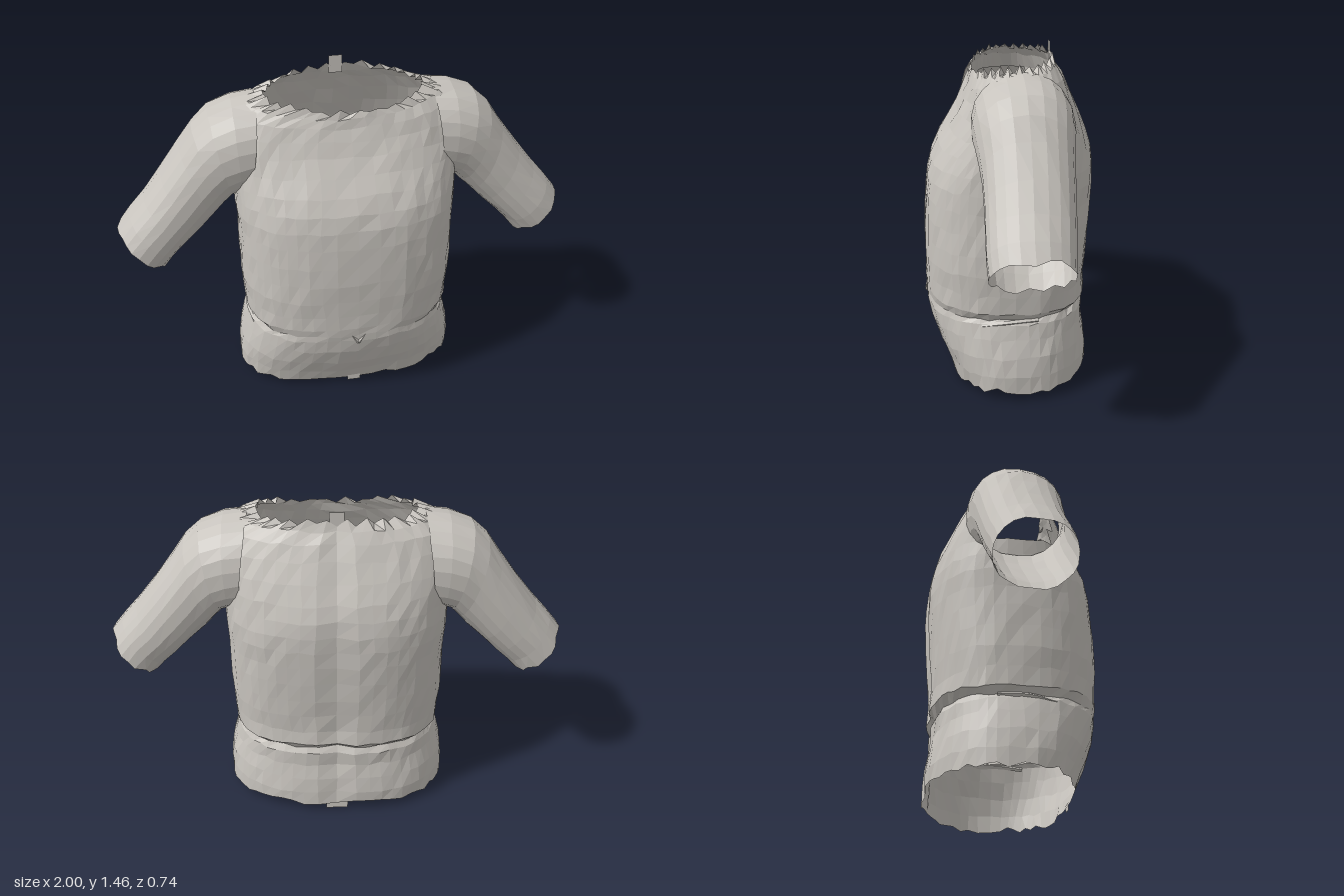
import * as THREE from 'three';

const SEG = 56;

// Seeded random for ragged hems and slightly uneven facets
function seeded(seed) {
  return () => {
    seed = (seed * 16807) % 2147483647;
    return seed / 2147483647 - 0.5;
  };
}

// Skins closed rings of points; skip(centre) leaves an opening
function loft(rings, flip, skip = () => false) {
  const pts = rings.flat();
  const n = rings[0].length;
  const index = [];
  const centre = new THREE.Vector3();
  for (let r = 0; r < rings.length - 1; r++) {
    for (let i = 0; i < n; i++) {
      const a = r * n + i, b = r * n + (i + 1) % n, c = a + n, d = b + n;
      centre.copy(pts[a]).add(pts[b]).add(pts[c]).add(pts[d]).multiplyScalar(0.25);
      if (skip(centre)) continue;
      if (flip) index.push(a, b, c, b, d, c);
      else index.push(a, c, b, b, c, d);
    }
  }
  const geo = new THREE.BufferGeometry().setFromPoints(pts);
  geo.setIndex(index);
  geo.computeVertexNormals();
  return geo;
}

const signedPow = (v, p) => Math.sign(v) * Math.abs(v) ** p;

function torsoGeometry() {
  const rand = seeded(77);
  // side y, front y, back y, half width, front z, back z, squareness
  const rows = [
    [0.05, 0.03, 0.06, 0.505, 0.26, -0.355, 2.5],
    [0.12, 0.10, 0.12, 0.505, 0.285, -0.355, 2.5],
    [0.20, 0.18, 0.20, 0.495, 0.32, -0.345, 2.5],
    [0.28, 0.27, 0.27, 0.475, 0.35, -0.333, 2.5],
    [0.34, 0.34, 0.34, 0.46, 0.365, -0.335, 2.5],
    [0.36, 0.37, 0.37, 0.445, 0.365, -0.32, 2.5],
    [0.39, 0.41, 0.40, 0.465, 0.367, -0.345, 2.6],
    [0.47, 0.48, 0.47, 0.47, 0.368, -0.34, 2.6],
    [0.56, 0.56, 0.56, 0.475, 0.37, -0.345, 2.7],
    [0.65, 0.65, 0.65, 0.475, 0.37, -0.352, 2.7],
    [0.74, 0.74, 0.74, 0.475, 0.367, -0.358, 2.7],
    [0.83, 0.83, 0.83, 0.475, 0.362, -0.363, 2.7],
    [0.91, 0.91, 0.91, 0.48, 0.352, -0.367, 2.7],
    [0.98, 0.98, 0.98, 0.485, 0.335, -0.367, 2.6],
    [1.05, 1.05, 1.05, 0.49, 0.303, -0.358, 2.5],
    [1.12, 1.12, 1.12, 0.50, 0.26, -0.338, 2.4],
    [1.20, 1.19, 1.20, 0.51, 0.22, -0.303, 2.4],
    [1.28, 1.25, 1.28, 0.51, 0.192, -0.265, 2.3],
    [1.35, 1.30, 1.345, 0.47, 0.172, -0.235, 2.3],
    [1.385, 1.335, 1.39, 0.41, 0.16, -0.21, 2.2],
    [1.40, 1.36, 1.42, 0.335, 0.15, -0.19, 2.1],
  ];
  const rings = rows.map(([ys, yf, yb, w, zf, zb, p], r) => {
    const ring = [];
    for (let i = 0; i < SEG; i++) {
      const a = (i / SEG) * Math.PI * 2;
      const c = Math.cos(a), s = Math.sin(a);
      const v = new THREE.Vector3(
        w * signedPow(c, 2 / p),
        ys * c * c + (s > 0 ? yf : yb) * s * s,
        (s > 0 ? zf : -zb) * signedPow(s, 2 / p));
      v.x += rand() * 0.006;
      v.y += rand() * 0.012;
      v.z += rand() * 0.006;
      // spine groove
      if (i === SEG * 0.75 && r < rows.length - 1) v.z += 0.014;
      // ragged hem and neckline
      if (r === 0) v.y += rand() * 0.025;
      if (r === rows.length - 1) {
        v.y += (i % 2 ? 0.014 : -0.008) + rand() * 0.02;
        v.x *= 1 + rand() * 0.08;
        v.z *= 1 + rand() * 0.08;
      }
      ring.push(v);
    }
    return ring;
  });
  // armholes, hidden under the start of the sleeves
  return loft(rings, false, (c) => Math.abs(c.x) > 0.44 && c.y > 1.04 && c.y < 1.3
    && c.z > -0.14 && c.z < 0.11);
}

function sleeveGeometry(side) {
  const rand = seeded(311);
  const n = 22;
  // top x, top y, bottom x, bottom y, middle z, half depth
  const rows = [
    [0.37, 1.395, 0.42, 0.99, -0.03, 0.205],
    [0.47, 1.382, 0.455, 0.98, -0.03, 0.205],
    [0.57, 1.345, 0.49, 0.965, -0.03, 0.198],
    [0.64, 1.28, 0.525, 0.925, -0.03, 0.187],
    [0.70, 1.195, 0.57, 0.875, -0.032, 0.18],
    [0.79, 1.075, 0.635, 0.81, -0.03, 0.175],
    [0.87, 0.97, 0.70, 0.745, -0.025, 0.172],
    [0.94, 0.89, 0.755, 0.69, -0.02, 0.168],
    [0.99, 0.825, 0.795, 0.64, -0.02, 0.163],
  ];
  const rings = rows.map(([tx, ty, bx, by, zc, rz], r) => {
    const ring = [];
    for (let i = 0; i < n; i++) {
      const a = (i / n) * Math.PI * 2;
      const t = 0.5 + 0.5 * signedPow(Math.cos(a), 0.9);
      const cuff = r === rows.length - 1 ? rand() * 0.02 : 0;
      ring.push(new THREE.Vector3(
        side * (bx + (tx - bx) * t + cuff + rand() * 0.004),
        by + (ty - by) * t - cuff + rand() * 0.006,
        zc + rz * signedPow(Math.sin(a), 0.9)));
    }
    return ring;
  });
  return loft(rings, side < 0);
}

// Small hanging flap at the bottom hem
function flapGeometry(z, width, top, bottom) {
  const geo = new THREE.PlaneGeometry(width, top - bottom, 2, 1);
  geo.translate(0, (top + bottom) / 2, z);
  return geo;
}

export function createModel() {
  const group = new THREE.Group();
  group.name = 'torsoGarment';
  const skin = new THREE.MeshStandardMaterial({ color: 0xc8c4be });
  skin.name = 'warm grey';
  skin.flatShading = true;
  skin.side = THREE.DoubleSide;

  const add = (name, geo) => {
    const mesh = new THREE.Mesh(geo, skin);
    mesh.name = name;
    group.add(mesh);
    return mesh;
  };

  add('torso', torsoGeometry());
  add('leftSleeve', sleeveGeometry(1));
  add('rightSleeve', sleeveGeometry(-1));

  // Navel: a small V of two steep folds
  for (const s of [-1, 1]) {
    const fold = add(s > 0 ? 'navelLeftFold' : 'navelRightFold',
      new THREE.ConeGeometry(0.009, 0.05, 4));
    fold.position.set(s * 0.015, 0.352, 0.366);
    fold.rotation.z = -s * 0.65;
  }

  // Ragged flaps at the middle of the hem and a ragged tip at the nape
  add('backHemFlap', flapGeometry(-0.33, 0.1, 0.1, 0)).rotation.x = 0.03;
  add('frontHemFlap', flapGeometry(0.263, 0.06, 0.05, 0.018));
  add('napeTip', flapGeometry(-0.188, 0.06, 1.47, 1.39));

  // Creases at the sides of the waist
  for (const s of [-1, 1]) {
    const path = new THREE.CatmullRomCurve3([
      new THREE.Vector3(s * 0.435, 0.335, 0.14),
      new THREE.Vector3(s * 0.455, 0.352, 0.03),
      new THREE.Vector3(s * 0.44, 0.355, -0.1),
    ]);
    add(s > 0 ? 'leftWaistCrease' : 'rightWaistCrease',
      new THREE.TubeGeometry(path, 8, 0.01, 4));
  }
  return group;
}
